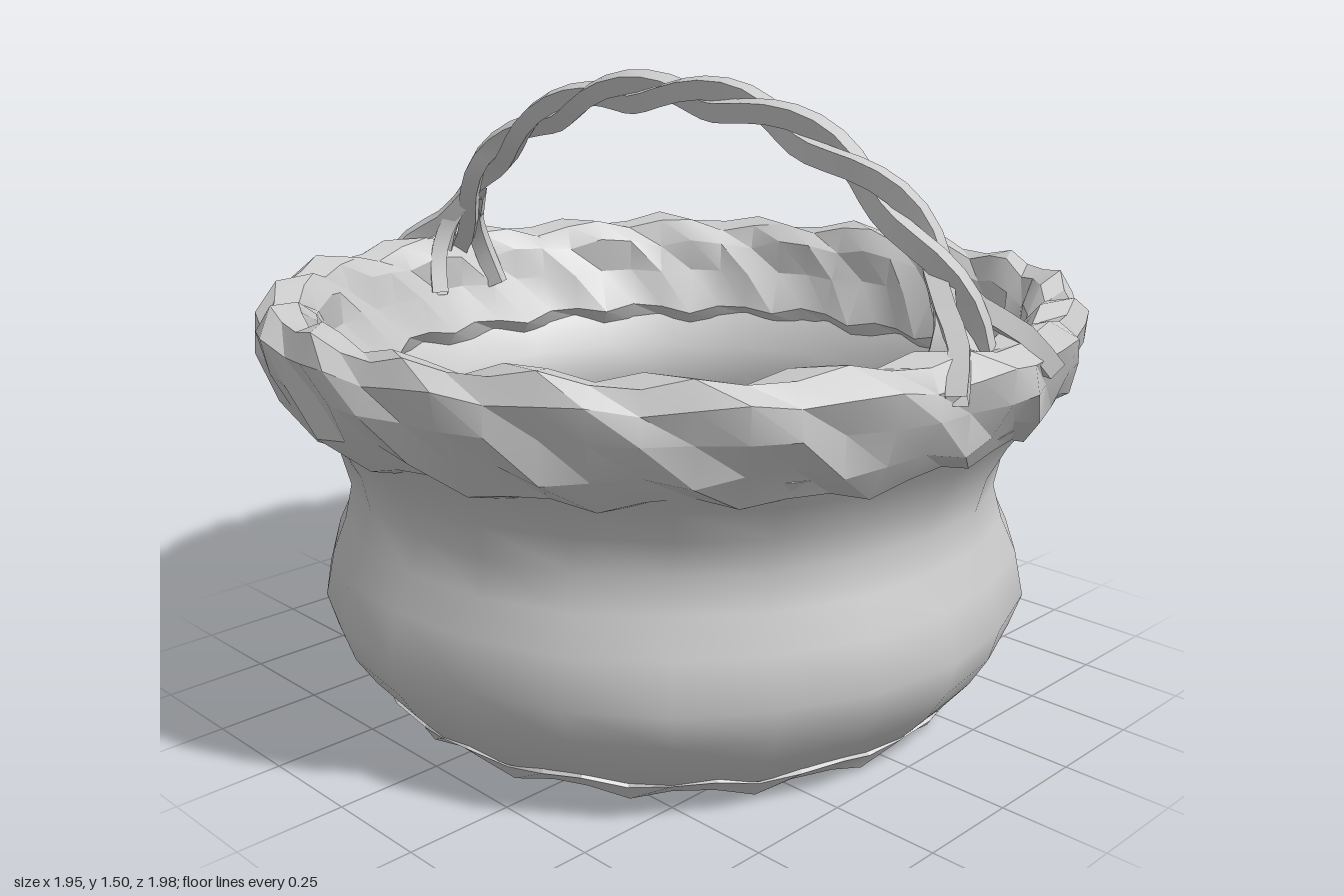
import * as THREE from 'three';
import { toCreasedNormals } from 'three/addons/utils/BufferGeometryUtils.js';

const material = new THREE.MeshStandardMaterial({ color: 0xcccccc, side: THREE.DoubleSide });

function addMesh(parent, name, geometry, crease = 0.7) {
  const mesh = new THREE.Mesh(toCreasedNormals(geometry, crease), material);
  mesh.name = name;
  parent.add(mesh);
  return mesh;
}

// Move every vertex by a rule
function deform(geometry, rule) {
  const pos = geometry.attributes.position;
  const v = new THREE.Vector3();
  for (let i = 0; i < pos.count; i++) {
    rule(v.fromBufferAttribute(pos, i));
    pos.setXYZ(i, v.x, v.y, v.z);
  }
  return geometry;
}

const profile = (pairs) => pairs.map(([r, y]) => new THREE.Vector2(r, y));

// Tube whose vertices follow a list of points
function strand(points, radius, steps, sides = 4) {
  return new THREE.TubeGeometry(new THREE.CatmullRomCurve3(points), steps, radius, sides, false);
}

export function createModel() {
  const basket = new THREE.Group();
  basket.name = 'basket';

  // Wall: bellied outer skin going up, inner skin coming back down
  const outer = [[0.65, 0.01], [0.72, 0.06], [0.79, 0.14], [0.835, 0.21], [0.86, 0.29],
    [0.835, 0.4], [0.8, 0.48], [0.78, 0.56], [0.8, 0.64], [0.845, 0.72], [0.9, 0.79]];
  const inner = outer.map(([r, y]) => [r - 0.04, y + 0.02]).reverse();
  const wall = new THREE.LatheGeometry(profile([...outer, ...inner, outer[0]]), 24);
  deform(wall, (v) => {
    const a = Math.atan2(v.x, v.z);
    const k = 1 + 0.006 * Math.sin(8 * a + v.y * 9);
    v.x *= k;
    v.z *= k;
  });
  addMesh(basket, 'wall', wall, 1.0);

  // Rim: thick plaited band, its cross-section rippled by a helical wave
  const rimProfile = [[0.8, 0.73], [0.87, 0.745], [0.925, 0.81], [0.955, 0.89], [0.965, 0.96],
    [0.93, 1.005], [0.87, 1.0], [0.835, 0.95], [0.82, 0.87], [0.775, 0.77], [0.8, 0.73]];
  const rim = new THREE.LatheGeometry(profile(rimProfile), 60);
  deform(rim, (v) => {
    const a = Math.atan2(v.x, v.z);
    const r = Math.hypot(v.x, v.z);
    const phi = Math.atan2(v.y - 0.88, r - 0.88);
    const wave = 0.016 * Math.sin(20 * a + 3 * phi) + 0.006 * Math.sin(9 * a - 2 * phi);
    const k = (r + wave * Math.cos(phi)) / r;
    v.x *= k;
    v.z *= k * 1.015;
    v.y += wave * Math.sin(phi);
  });
  addMesh(basket, 'rim', rim, 0.4);

  // Plaited foot around the base of the wall
  const foot = new THREE.TorusGeometry(0.69, 0.04, 4, 48).rotateX(Math.PI / 2);
  deform(foot, (v) => {
    const a = Math.atan2(v.x, v.z);
    const k = 1 + 0.02 * Math.sin(16 * a + v.y * 30);
    v.x *= k;
    v.z *= k;
    v.y = Math.max(0.005, v.y + 0.065 + 0.015 * Math.sin(16 * a));
  });
  addMesh(basket, 'foot', foot, 0.3);

  // Floor: disc under concentric coils of rippled reed
  const floor = new THREE.Group();
  floor.name = 'floor';
  basket.add(floor);
  const disc = new THREE.CylinderGeometry(0.66, 0.65, 0.015, 24);
  addMesh(floor, 'floorDisc', disc.translate(0, 0.025, 0));
  for (let i = 0; i < 8; i++) {
    const radius = 0.23 + i * 0.056;
    const waves = 7 + i;
    const coil = new THREE.TorusGeometry(radius, 0.03, 3, waves * 3).rotateX(Math.PI / 2);
    deform(coil, (v) => {
      const a = Math.atan2(v.x, v.z);
      const k = 1 + (0.016 * Math.sin(waves * a + i * 2.1 + v.y * 50)) / radius;
      v.x *= k;
      v.z *= k;
      v.y = Math.max(0.003, 0.032 + v.y * 0.8 + 0.012 * Math.sin(waves * a + i));
    });
    addMesh(floor, 'floorCoil', coil, 0.3);
  }

  // Handle: strands twisted around an arch
  const handle = new THREE.Group();
  handle.name = 'handle';
  basket.add(handle);
  const half = [[0.87, 0.98], [0.78, 1.14], [0.65, 1.26], [0.45, 1.37], [0.24, 1.435]];
  const arch = new THREE.CatmullRomCurve3([
    ...half.map(([x, y]) => new THREE.Vector3(-x, y, 0)),
    new THREE.Vector3(0, 1.45, 0),
    ...half.map(([x, y]) => new THREE.Vector3(x, y, 0)).reverse(),
  ]);
  const side = new THREE.Vector3(0, 0, 1);
  for (let s = 0; s < 2; s++) {
    const points = [];
    for (let i = 0; i <= 32; i++) {
      const t = i / 32;
      const turn = t * Math.PI * 8 + s * Math.PI;
      const up = new THREE.Vector3().crossVectors(side, arch.getTangentAt(t));
      points.push(arch.getPointAt(t)
        .addScaledVector(side, 0.029 * Math.cos(turn))
        .addScaledVector(up, 0.024 * Math.sin(turn)));
    }
    addMesh(handle, 'handleStrand', strand(points, 0.032, 40), 0.4);
  }

  // Strand ends spread over the rim on both sides
  for (const x of [-1, 1]) {
    for (const z of [-1, 1]) {
      const over = [[0.77, 1.14, 0.015], [0.83, 1.07, 0.05], [0.91, 1.01, 0.11], [0.95, 0.93, 0.17]];
      const inside = [[0.8, 1.11, 0.02], [0.83, 1.04, 0.05], [0.83, 0.96, 0.08], [0.8, 0.87, 0.1]];
      for (const path of [over, inside]) {
        const points = path.map((p) => new THREE.Vector3(p[0] * x, p[1], p[2] * z));
        addMesh(handle, 'handleEnd', strand(points, 0.03, 6), 0.4);
      }
    }
  }

  return basket;
}
